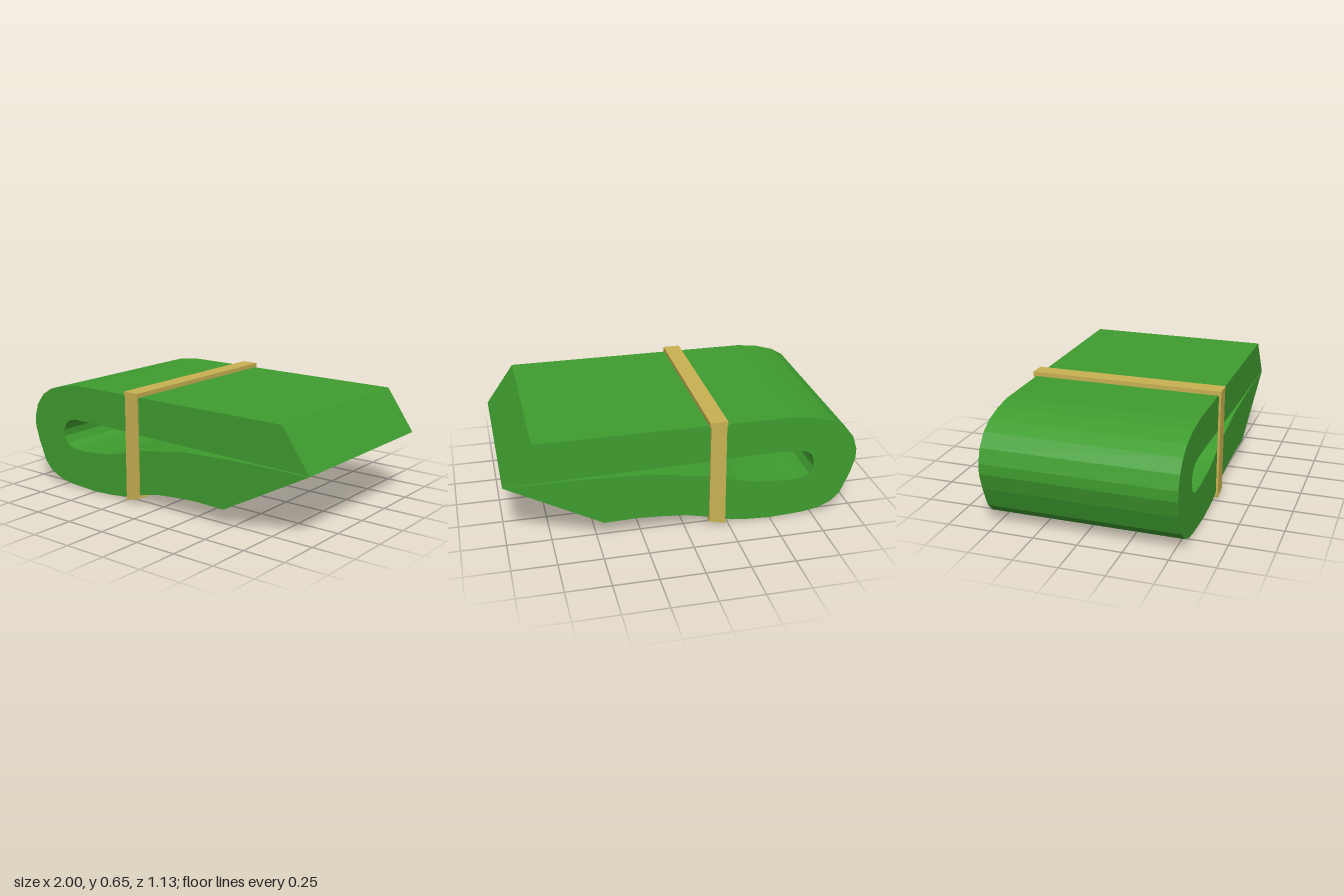
import * as THREE from 'three';

const HALF_DEPTH = 0.545;

function material(name, color) {
  const m = new THREE.MeshStandardMaterial({ color });
  m.name = name;
  return m;
}

// Extrude a side-on outline evenly about z = 0
function slab(points, depth) {
  const shape = new THREE.Shape(points.map(([x, y]) => new THREE.Vector2(x, y)));
  const geometry = new THREE.ExtrudeGeometry(shape, { depth, bevelEnabled: false });
  return geometry.translate(0, 0, -depth / 2);
}

export function createModel() {
  const model = new THREE.Group();
  model.name = 'foldedWad';
  const green = material('leaf green', 0x3f9d2f);
  const gold = material('band gold', 0xc9b253);

  function add(name, geometry, mat, parent = model) {
    const mesh = new THREE.Mesh(geometry, mat);
    mesh.name = name;
    parent.add(mesh);
    return mesh;
  }

  // Thick sheet folded over on itself: outside of the fold, then the inner loop
  const outside = [
    [1, 0.392], [0.833, 0.63], [-0.62, 0.63], [-0.74, 0.615], [-0.85, 0.583],
    [-0.92, 0.54], [-0.975, 0.47], [-1, 0.39], [-1, 0.33], [-0.972, 0.235],
    [-0.92, 0.115], [-0.87, 0.065], [-0.79, 0.03], [-0.7, 0.014], [-0.5, 0.003],
    [-0.37, 0.01], [-0.275, 0.02], [-0.14, 0.055], [-0.01, 0.085],
    [0.125, 0.097], [0.275, 0.105], [0.46, 0.1], [1, 0.388],
  ];
  const inside = [
    [0.73, 0.389], [0.49, 0.385], [0.2, 0.372], [0.035, 0.347], [-0.125, 0.322],
    [-0.22, 0.3], [-0.31, 0.27], [-0.41, 0.25], [-0.58, 0.237], [-0.67, 0.24],
    [-0.725, 0.265], [-0.747, 0.305], [-0.747, 0.345], [-0.73, 0.385],
    [-0.7, 0.407], [-0.65, 0.42], [-0.47, 0.422], [-0.235, 0.415], [0.15, 0.406],
  ];
  add('foldedSheet', slab([...outside, ...inside], HALF_DEPTH * 2), green);

  // Band around the sheet
  const band = new THREE.Group();
  band.name = 'band';
  model.add(band);
  const bandDepth = 1.126;
  add('bandTop', slab([[-0.23, 0.628], [-0.13, 0.628], [-0.13, 0.655], [-0.23, 0.655]], bandDepth), gold, band);
  add('bandBottom', slab([[-0.23, 0.013], [-0.133, 0.037], [-0.137, 0.056], [-0.234, 0.032]], bandDepth), gold, band);
  for (const side of [1, -1]) {
    const strip = add(side > 0 ? 'bandFront' : 'bandBack',
      slab([[-0.23, 0.016], [-0.136, 0.04], [-0.136, 0.64], [-0.225, 0.64]], 0.013), gold, band);
    strip.position.z = side * 0.5555;
  }
  return model;
}
